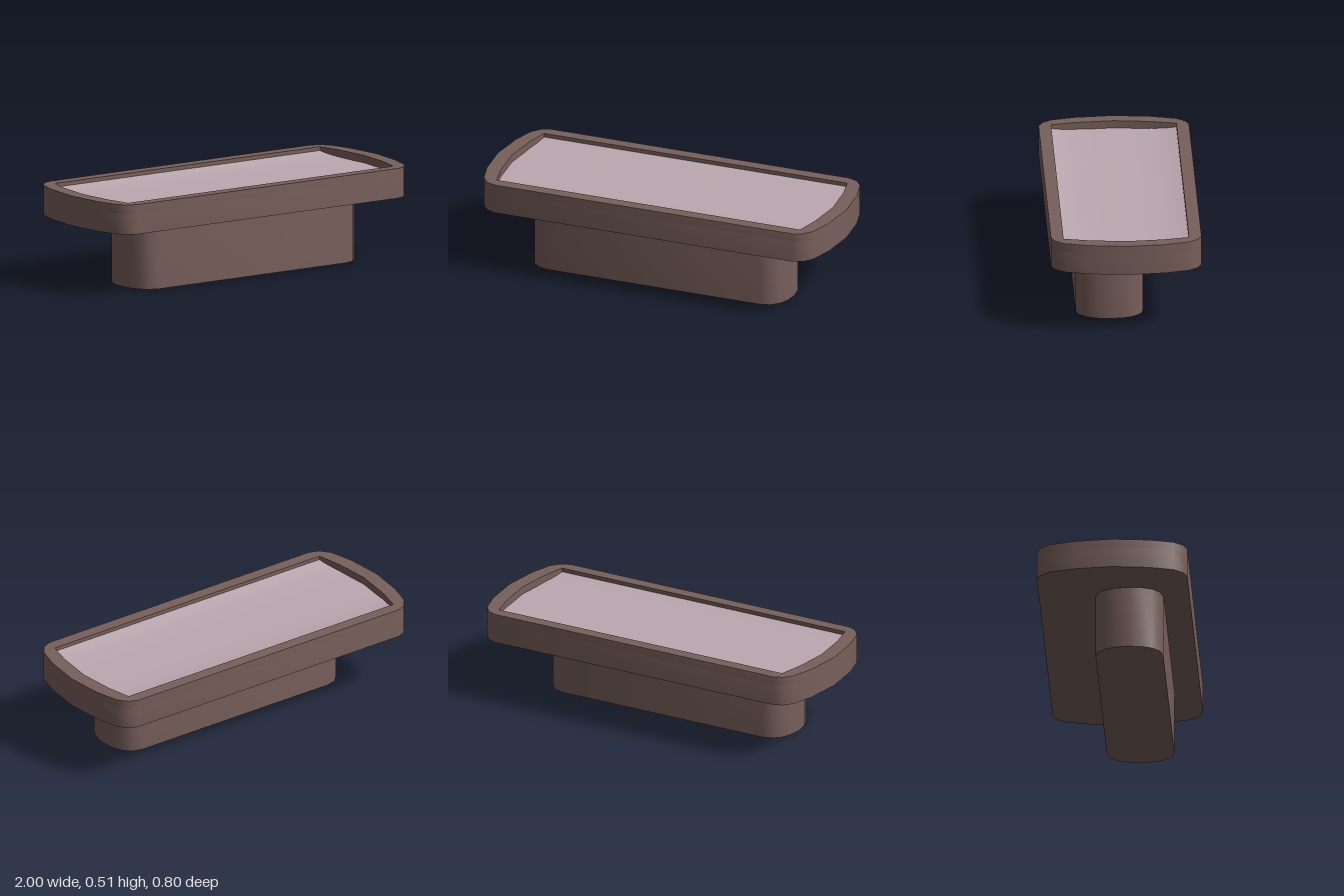
import * as THREE from 'three';
import { toCreasedNormals } from 'three/addons/utils/BufferGeometryUtils.js';

const frameMaterial = new THREE.MeshStandardMaterial({ color: 0x775f5a });
const panelMaterial = new THREE.MeshStandardMaterial({ color: 0xbba8b0, side: THREE.DoubleSide });

// One quarter of each outline as [x, z], from the middle of the end to the long side
const plateQuarter = [[1, 0], [0.98, 0.2], [0.945, 0.33], [0.905, 0.38], [0.855, 0.4]];
const recessQuarter = [[0.92, 0], [0.9, 0.2], [0.87, 0.333]];
const baseQuarter = [[0.735, 0], [0.727, 0.07], [0.705, 0.125], [0.665, 0.165], [0.61, 0.18]];

// Mirror a quarter into a full closed outline
function outline(quarter) {
  const half = [...quarter.slice(1).reverse().map(([x, y]) => [x, -y]), ...quarter];
  const all = [...half, ...half.map(([x, y]) => [-x, -y])];
  return all.map(([x, y]) => new THREE.Vector2(x, y));
}

// Upright slab between two heights, optionally with an opening
function slab(name, quarter, bottom, top, holeQuarter) {
  const shape = new THREE.Shape(outline(quarter));
  if (holeQuarter) shape.holes.push(new THREE.Path(outline(holeQuarter)));
  const geometry = new THREE.ExtrudeGeometry(shape, { depth: top - bottom, bevelEnabled: false });
  geometry.rotateX(-Math.PI / 2).translate(0, bottom, 0);
  const mesh = new THREE.Mesh(toCreasedNormals(geometry, 0.8), frameMaterial);
  mesh.name = name;
  return mesh;
}

// Half width of the recess at a given depth
function recessHalfWidth(z) {
  const d = Math.abs(z);
  const i = d > recessQuarter[1][1] ? 1 : 0;
  const [[x0, z0], [x1, z1]] = [recessQuarter[i], recessQuarter[i + 1]];
  return x0 + (x1 - x0) * (d - z0) / (z1 - z0);
}

// Inset panel, gently curved up towards its long sides
function makePanel() {
  const halfDepth = 0.333;
  const geometry = new THREE.PlaneGeometry(2, 2 * halfDepth, 8, 20).rotateX(-Math.PI / 2);
  const p = geometry.attributes.position;
  for (let i = 0; i < p.count; i++) {
    const z = p.getZ(i);
    p.setXYZ(i, p.getX(i) * recessHalfWidth(z), 0.465 + 0.02 * (z / halfDepth) ** 4, z);
  }
  geometry.computeVertexNormals();
  const mesh = new THREE.Mesh(geometry, panelMaterial);
  mesh.name = 'panel';
  return mesh;
}

export function createModel() {
  const model = new THREE.Group();
  model.name = 'pedestalTray';

  // Base sits a little forward under the plate
  const base = slab('base', baseQuarter, 0, 0.345, null);
  base.position.z = 0.08;

  model.add(
    base,
    slab('plate', plateQuarter, 0.345, 0.46, null),
    slab('rim', plateQuarter, 0.46, 0.506, recessQuarter),
    makePanel()
  );
  return model;
}
